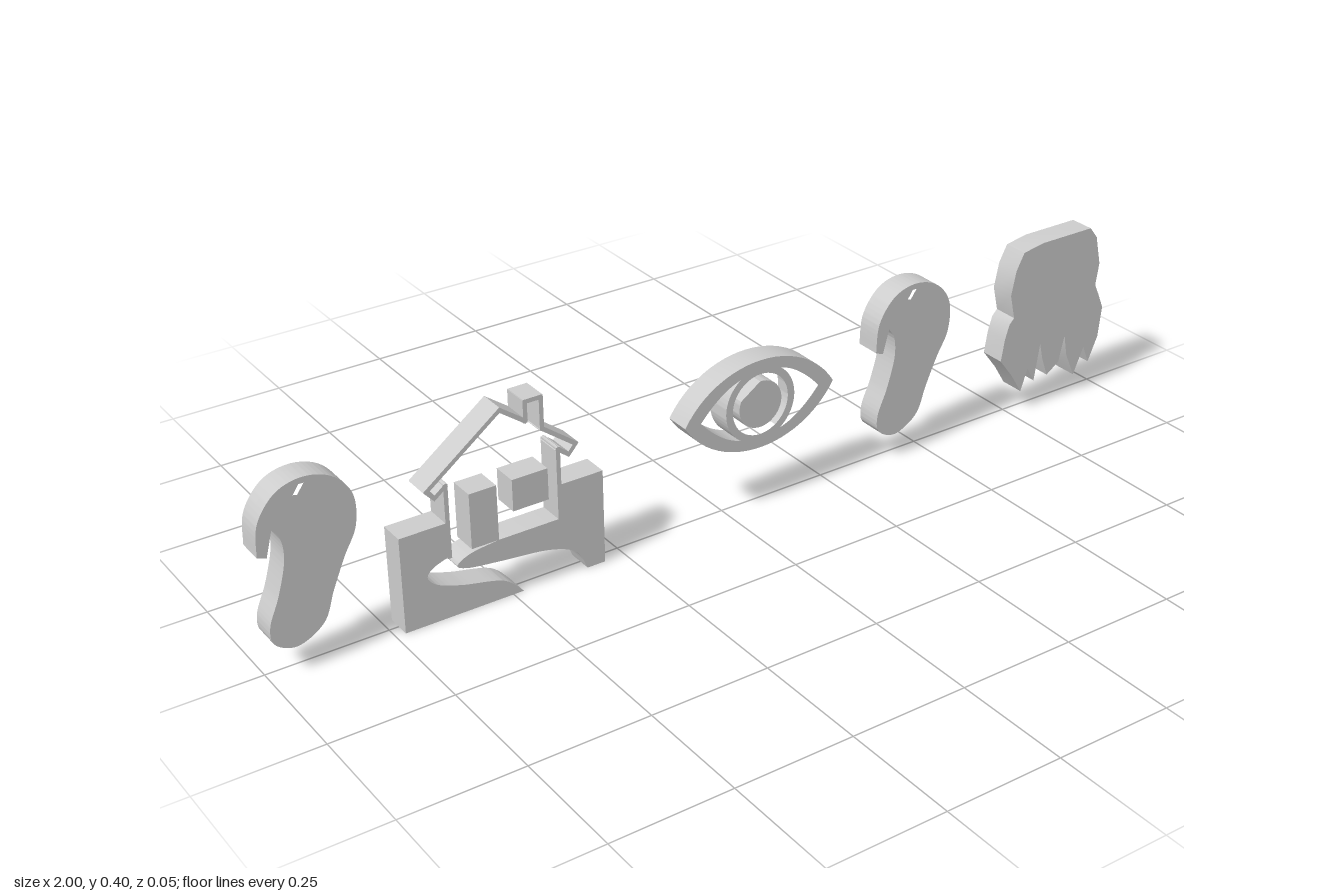
import * as THREE from 'three';
import { toCreasedNormals } from 'three/addons/utils/BufferGeometryUtils.js';

const DEPTH = 0.055;
const material = new THREE.MeshStandardMaterial({ color: 0xcccccc });
const pts = (list) => list.map(([x, y]) => new THREE.Vector2(x, y));
const polygon = (list) => new THREE.Shape(pts(list));

// Cut a flat shape out of the plate, centred on z = 0.
function plate(name, shape, crease = 0.6) {
  const geo = new THREE.ExtrudeGeometry(shape, { depth: DEPTH, bevelEnabled: false, curveSegments: 24 });
  geo.translate(0, 0, -DEPTH / 2);
  const mesh = new THREE.Mesh(toCreasedNormals(geo, crease), material);
  mesh.name = name;
  return mesh;
}

function group(name, x, y, ...parts) {
  const g = new THREE.Group();
  g.name = name;
  g.position.set(x, y, 0);
  g.add(...parts);
  return g;
}

// Rounded lobe with a narrow tail, a notch on one side and a small slit
function lobe(name, x) {
  const s = new THREE.Shape();
  s.moveTo(0, 0.26);
  s.splineThru(pts([[0.007, 0.325], [0.045, 0.375], [0.1, 0.39], [0.155, 0.372], [0.19, 0.325], [0.19, 0.26],
    [0.163, 0.205], [0.137, 0.145], [0.113, 0.085], [0.06, 0.055], [0.016, 0.073], [0.01, 0.112],
    [0.032, 0.17], [0.049, 0.235], [0.047, 0.28], [0.032, 0.305]]));
  s.lineTo(0.018, 0.253);
  s.holes.push(new THREE.Path(pts([[0.078, 0.36], [0.09, 0.378], [0.1, 0.378], [0.086, 0.358]])));
  return group(name, x, 0, plate('lobeBody', s));
}

// House outline made of thin strips, on ground split by a winding path
function house() {
  const left = new THREE.Shape(pts([[-0.22, 0], [-0.22, 0.203], [-0.123, 0.203], [-0.123, 0.13]]));
  left.splineThru(pts([[-0.155, 0.118], [-0.167, 0.1], [-0.145, 0.078], [-0.095, 0.06], [-0.01, 0.038], [0.032, 0]]));
  const right = new THREE.Shape(pts([[0.215, 0], [0.215, 0.203], [0.123, 0.203], [0.123, 0.13], [-0.015, 0.13]]));
  right.splineThru(pts([[-0.075, 0.122], [-0.105, 0.105], [-0.08, 0.092], [-0.015, 0.083], [0.09, 0.07], [0.15, 0.045], [0.175, 0]]));

  const outline = pts([[-0.119, 0.13], [-0.119, 0.28], [-0.142, 0.262], [-0.158, 0.28], [0, 0.399], [0.053, 0.36],
    [0.053, 0.4], [0.087, 0.4], [0.087, 0.334], [0.158, 0.28], [0.142, 0.262], [0.119, 0.28], [0.119, 0.13]]);
  const strips = new THREE.Group();
  strips.name = 'wallsRoofAndChimney';
  const thick = 0.009;
  for (let i = 1; i < outline.length; i++) {
    const a = outline[i - 1], b = outline[i];
    const strip = new THREE.Mesh(new THREE.BoxGeometry(a.distanceTo(b) + thick * 0.8, thick, DEPTH), material);
    strip.name = 'outlineStrip';
    strip.position.set((a.x + b.x) / 2, (a.y + b.y) / 2, 0);
    strip.rotation.z = Math.atan2(b.y - a.y, b.x - a.x);
    strips.add(strip);
  }
  const door = plate('door', polygon([[-0.073, 0.13], [-0.015, 0.13], [-0.015, 0.247], [-0.073, 0.247]]));
  const win = plate('window', polygon([[0.018, 0.18], [0.095, 0.18], [0.095, 0.247], [0.018, 0.247]]));
  return group('house', -0.51, 0, plate('groundLeft', left), plate('groundRight', right), strips, door, win);
}

// Eye: almond frame with side openings, iris ring and notched pupil
function eye() {
  const s = new THREE.Shape();
  s.moveTo(-0.18, 0);
  s.bezierCurveTo(-0.1, 0.13, 0.1, 0.13, 0.18, 0);
  s.bezierCurveTo(0.1, -0.13, -0.1, -0.13, -0.18, 0);
  const r = 0.083, a = 0.95;
  for (const side of [-1, 1]) {
    const cx = r * Math.cos(a) * side, cy = r * Math.sin(a);
    const hole = new THREE.Path();
    hole.moveTo(cx, cy);
    hole.quadraticCurveTo(side * 0.095, 0.055, side * 0.143, 0);
    hole.quadraticCurveTo(side * 0.095, -0.055, cx, -cy);
    hole.absarc(0, 0, r, side > 0 ? -a : Math.PI + a, side > 0 ? a : Math.PI - a, side < 0);
    s.holes.push(hole);
  }
  const irisGap = new THREE.Path();
  irisGap.absarc(0, 0, 0.067, 0, Math.PI * 2, true);
  s.holes.push(irisGap);

  const pupil = new THREE.Shape();
  pupil.moveTo(0, -0.008);
  pupil.absarc(0, 0, 0.051, 2.75, Math.PI * 2 + 1.6, false);
  pupil.closePath();
  return group('eye', 0.075, 0.232, plate('eyeFrame', s), plate('pupil', pupil));
}

// Mop of hair with pointed strands along the lower edge
function hair() {
  const s = polygon([[0.757, 0.382], [0.81, 0.391], [0.945, 0.391], [0.965, 0.365], [0.98, 0.3], [0.973, 0.25],
    [0.985, 0.225], [1, 0.19], [0.993, 0.12], [0.97, 0.065], [0.953, 0.105], [0.928, 0.045], [0.903, 0.1],
    [0.893, 0.15], [0.88, 0.09], [0.848, 0.068], [0.832, 0.11], [0.822, 0.15], [0.81, 0.065], [0.79, 0.1],
    [0.773, 0.05], [0.745, 0.095], [0.71, 0.14], [0.718, 0.19], [0.728, 0.222], [0.74, 0.235], [0.727, 0.29], [0.738, 0.345]]);
  return group('hair', 0, 0, plate('hairMop', s, 0.45));
}

export function createModel() {
  const model = new THREE.Group();
  model.name = 'cutoutRow';
  model.add(lobe('lobeRight', -1), house(), eye(), lobe('lobeLeft', 0.365), hair());
  return model;
}
